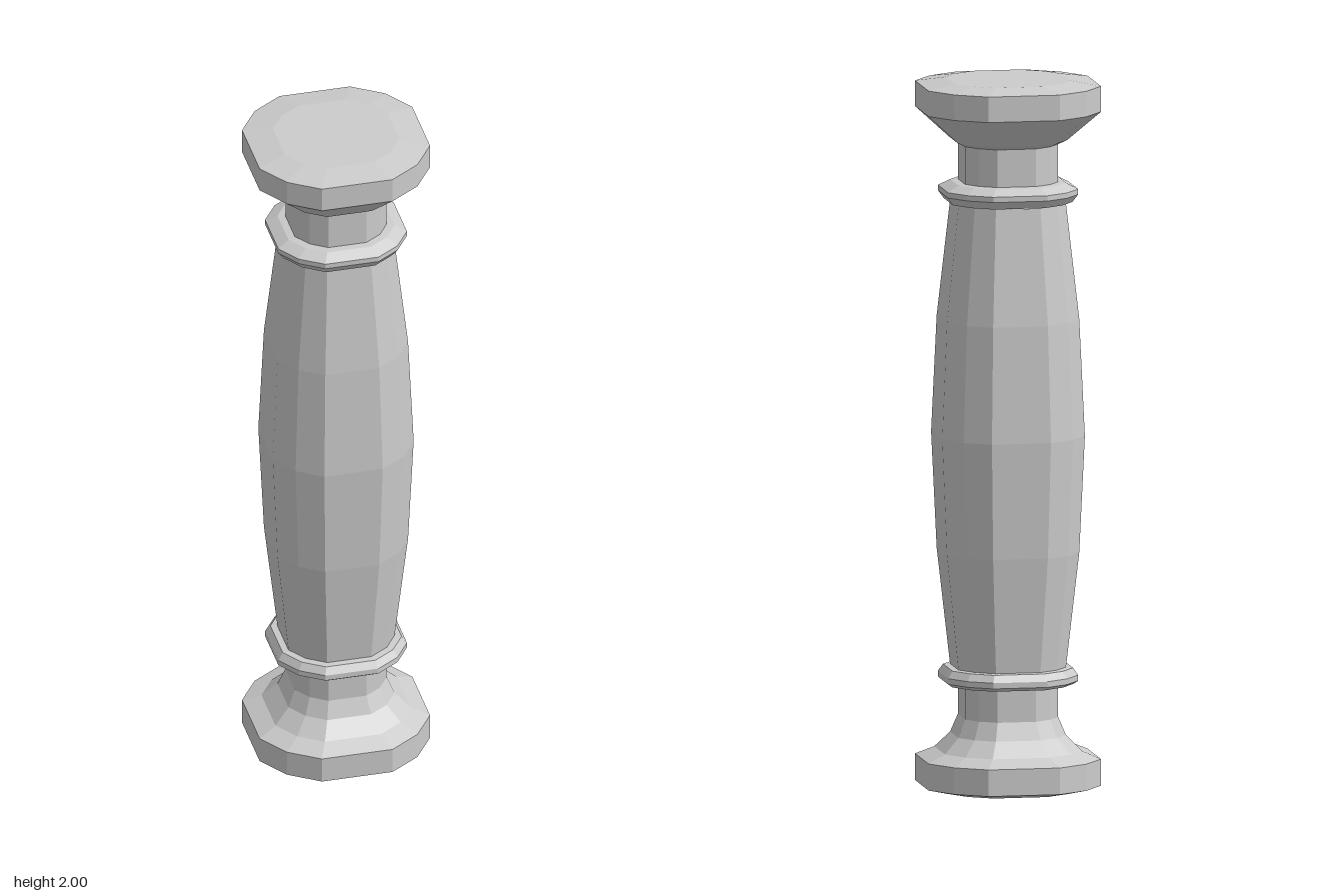
import * as THREE from 'three';

// Twelve-sided section: a 16-gon with its four diagonal corners left out
const STEPS = [0, 1, 3, 4, 5, 7, 8, 9, 11, 12, 13, 15, 16];

const material = new THREE.MeshStandardMaterial({ color: 0xcccccc, flatShading: true });

// Turns a [radius, height] profile (bottom to top) into a faceted part
function turned(name, profile) {
  const points = profile.map(([r, y]) => new THREE.Vector2(r, y));
  const geometry = new THREE.LatheGeometry(points, STEPS.length - 1);
  const position = geometry.attributes.position;
  STEPS.forEach((step, i) => {
    const angle = (step * Math.PI) / 8;
    points.forEach((p, j) => {
      position.setXYZ(i * points.length + j, p.x * Math.sin(angle), p.y, p.x * Math.cos(angle));
    });
  });
  geometry.computeVertexNormals();
  const mesh = new THREE.Mesh(geometry, material);
  mesh.name = name;
  return mesh;
}

export function createModel() {
  const group = new THREE.Group();
  group.name = 'column';

  // Swelling shaft, widest at mid height
  const shaft = [];
  for (let i = 0; i <= 4; i++) {
    const t = i / 4;
    shaft.push([0.165 + 0.054 * Math.sin(Math.PI * t), 0.345 + 1.31 * t]);
  }

  group.add(
    // Foot slab with a concave flare up to the lower neck
    turned('base', [
      [0, 0], [0.2, 0], [0.265, 0.015], [0.265, 0.09],
      [0.21, 0.112], [0.165, 0.155], [0.143, 0.205], [0.143, 0.3],
    ]),
    turned('lowerCollar', [
      [0.143, 0.297], [0.185, 0.299], [0.2, 0.309], [0.2, 0.325], [0.185, 0.345], [0.16, 0.347],
    ]),
    turned('shaft', shaft),
    turned('upperCollar', [
      [0.16, 1.656], [0.183, 1.658], [0.2, 1.68], [0.2, 1.695], [0.165, 1.712], [0.143, 1.714],
    ]),
    // Upper neck spreading into the top slab
    turned('capital', [
      [0.143, 1.71], [0.143, 1.82], [0.168, 1.832], [0.265, 1.915],
      [0.265, 1.987], [0.178, 2], [0, 2],
    ]),
  );
  return group;
}
